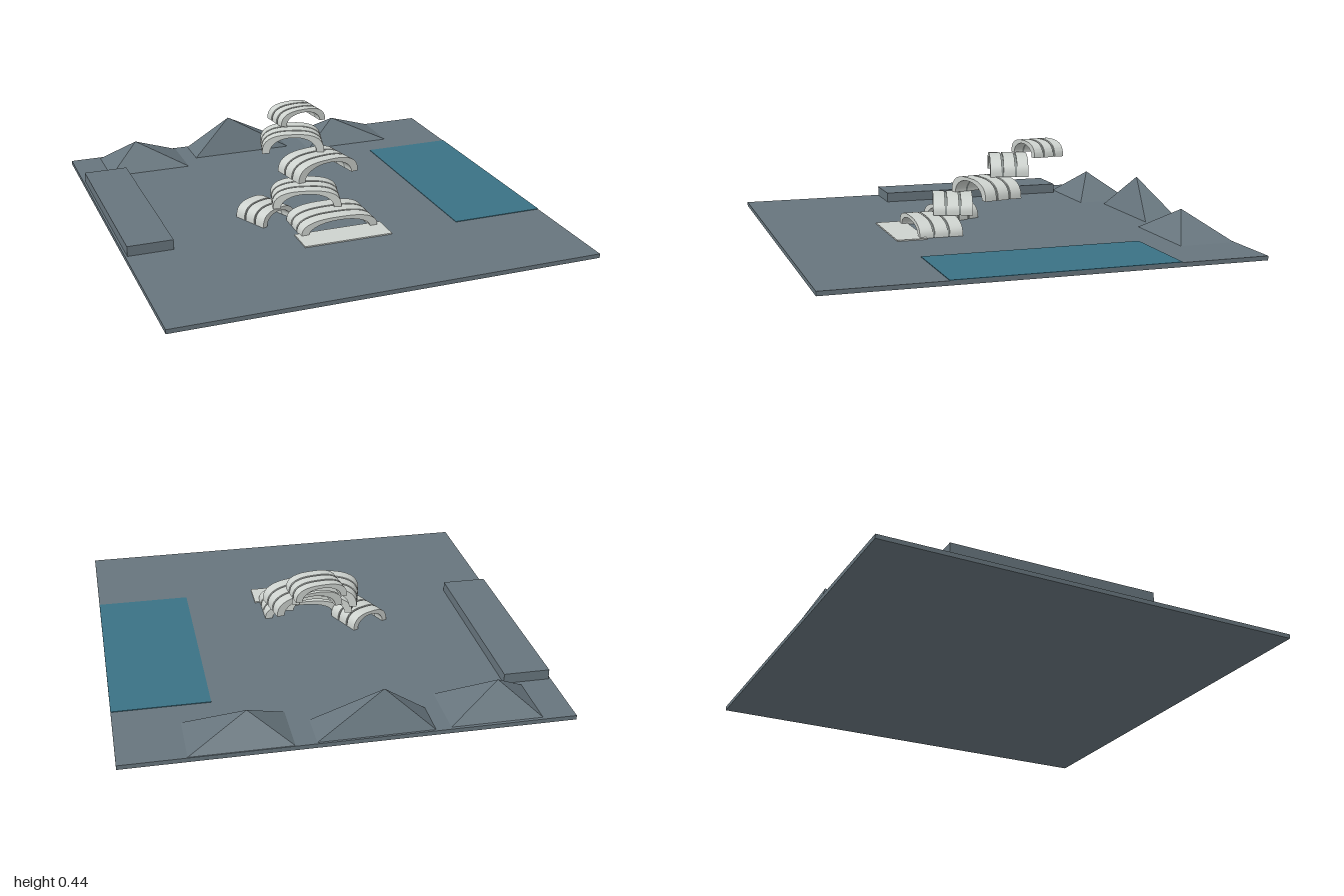
import * as THREE from 'three';
import { toCreasedNormals } from 'three/addons/utils/BufferGeometryUtils.js';

const GROUND_Y = 0.02;

function material(name, color) {
  const m = new THREE.MeshStandardMaterial({ color });
  m.name = name;
  return m;
}

// Box given by its x, y and z limits
function block(name, mat, x0, x1, y0, y1, z0, z1) {
  const mesh = new THREE.Mesh(new THREE.BoxGeometry(x1 - x0, y1 - y0, z1 - z0), mat);
  mesh.position.set((x0 + x1) / 2, (y0 + y1) / 2, (z0 + z1) / 2);
  mesh.name = name;
  return mesh;
}

// Four-sided peak on a rectangular base with an off-centre apex
function peak(x0, x1, z0, z1, ax, ay, az, mat) {
  const y = GROUND_Y;
  const base = [[x0, y, z1], [x1, y, z1], [x1, y, z0], [x0, y, z0]];
  const points = [];
  base.forEach((p, i) => points.push(...p, ...base[(i + 1) % 4], ax, ay, az));
  const geo = new THREE.BufferGeometry();
  geo.setAttribute('position', new THREE.Float32BufferAttribute(points, 3));
  geo.computeVertexNormals();
  const mesh = new THREE.Mesh(geo, mat);
  mesh.name = 'mountain';
  return mesh;
}

// Half superellipse from right foot to left foot
function halfCurve(a, h, power, steps = 28) {
  const pts = [];
  for (let i = 0; i <= steps; i++) {
    const t = (Math.PI * i) / steps;
    const c = Math.cos(t), s = Math.max(0, Math.sin(t));
    pts.push(new THREE.Vector2(
      a * Math.sign(c) * Math.pow(Math.abs(c), 2 / power),
      h * Math.pow(s, 2 / power)));
  }
  return pts;
}

// Crescent arch: boxy outside, elliptical opening inside
function archGeometry(span, height, depth, inset = 0) {
  const outer = halfCurve(span / 2 - inset, height - inset, 2.7);
  const inner = halfCurve(span / 2 - Math.min(0.036, span * 0.12), height - 0.016, 2.1);
  const shape = new THREE.Shape([...outer, ...inner.reverse()]);
  const geo = new THREE.ExtrudeGeometry(shape, { depth, bevelEnabled: false });
  geo.translate(0, 0, -depth / 2);
  return toCreasedNormals(geo, 0.6);
}

// Vault of three arched bands joined by recessed ribs
function vault({ x, y, z, span, height, depth, turn }, shellMat, jointMat) {
  const group = new THREE.Group();
  group.name = 'vault';
  const gap = 0.01;
  const band = (depth - 2 * gap) / 3;
  const bandGeo = archGeometry(span, height, band);
  const jointGeo = archGeometry(span, height, gap, 0.006);
  for (let i = -1; i <= 1; i++) {
    const shell = new THREE.Mesh(bandGeo, shellMat);
    shell.name = 'vaultBand';
    shell.position.z = i * (band + gap);
    group.add(shell);
  }
  for (const side of [-1, 1]) {
    const joint = new THREE.Mesh(jointGeo, jointMat);
    joint.name = 'vaultJoint';
    joint.position.z = side * (band + gap) / 2;
    group.add(joint);
  }
  group.position.set(x, y, z);
  group.rotation.y = turn;
  return group;
}

export function createModel() {
  const model = new THREE.Group();
  model.name = 'vaultsOnSite';

  const stone = material('slate', 0x67757d);
  const water = material('water', 0x3a7184);
  const shell = material('paleConcrete', 0xcdd2ce);
  const joint = material('jointGrey', 0x858c8a);

  // Site
  model.add(block('ground', stone, -1, 1, 0, GROUND_Y, -1, 1));
  model.add(block('waterSurface', water, 0.555, 1, GROUND_Y, 0.023, -0.585, 0.455));
  model.add(block('longTerrace', stone, -0.99, -0.775, GROUND_Y, 0.068, -0.68, 0.28));
  model.add(block('entrancePlate', shell, -0.215, 0.215, GROUND_Y, 0.026, 0.33, 0.475));

  // Mountains along the back
  model.add(peak(-0.85, -0.435, -0.985, -0.705, -0.685, 0.145, -0.84, stone));
  model.add(peak(-0.365, 0.155, -0.99, -0.81, -0.155, 0.195, -0.9, stone));
  model.add(peak(0.25, 0.705, -0.995, -0.725, 0.435, 0.135, -0.86, stone));

  // Vaults climbing backwards
  const vaults = [
    { x: 0, y: 0.02, z: 0.255, span: 0.38, height: 0.075, depth: 0.21, turn: 0 },
    { x: -0.27, y: 0.02, z: 0.073, span: 0.2, height: 0.075, depth: 0.19, turn: 0.42 },
    { x: -0.083, y: 0.097, z: 0.122, span: 0.325, height: 0.085, depth: 0.19, turn: -0.26 },
    { x: 0.033, y: 0.182, z: -0.015, span: 0.337, height: 0.09, depth: 0.195, turn: 0.2 },
    { x: -0.052, y: 0.272, z: -0.154, span: 0.303, height: 0.094, depth: 0.183, turn: -0.27 },
    { x: 0.018, y: 0.367, z: -0.282, span: 0.245, height: 0.072, depth: 0.155, turn: 0.13 },
  ];
  for (const v of vaults) model.add(vault(v, shell, joint));

  return model;
}
